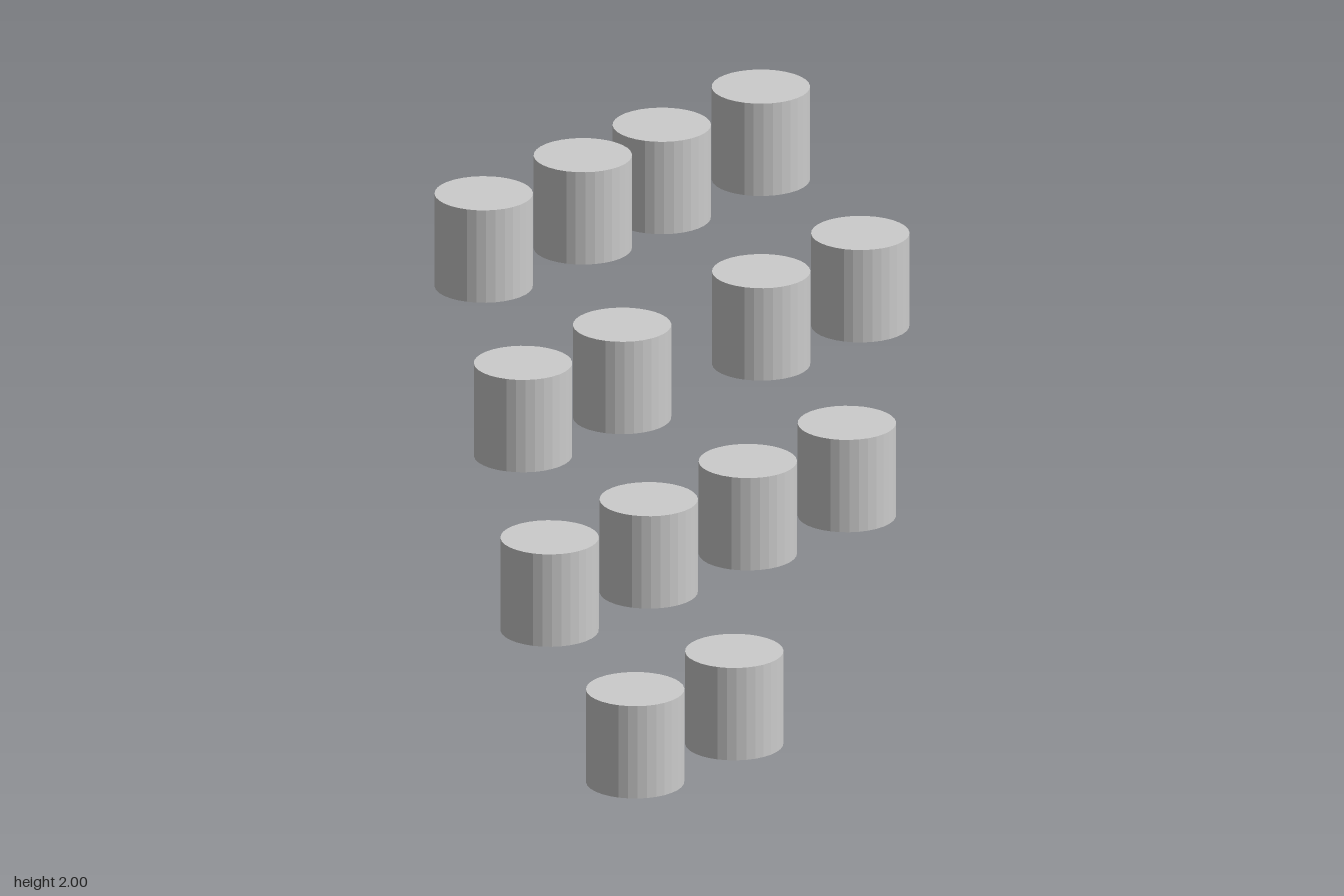
import * as THREE from 'three';

const SIZE = 2 / 7; // height and diameter of every peg
const STEP = 1.5 * SIZE; // spacing of neighbouring pegs

// Rows from bottom to top; each run is [x of first peg, number of pegs]
const ROWS = [
  [[-0.16, 2]],
  [[-0.53, 4]],
  [[-0.645, 2], [0.385, 2]],
  [[-0.815, 2], [-0.045, 2]],
];

export function createModel() {
  const model = new THREE.Group();
  model.name = 'pegRows';
  const material = new THREE.MeshStandardMaterial({ color: 0xcccccc, flatShading: true });
  const geometry = new THREE.CylinderGeometry(SIZE / 2, SIZE / 2, SIZE, 32);

  ROWS.forEach((runs, level) => {
    // One horizontal row of upright pegs
    const row = new THREE.Group();
    row.name = `row${level + 1}`;
    row.position.y = SIZE / 2 + level * 2 * SIZE;
    for (const [start, count] of runs) {
      for (let i = 0; i < count; i++) {
        const peg = new THREE.Mesh(geometry, material);
        peg.name = 'peg';
        peg.position.x = start + i * STEP;
        row.add(peg);
      }
    }
    model.add(row);
  });
  return model;
}
